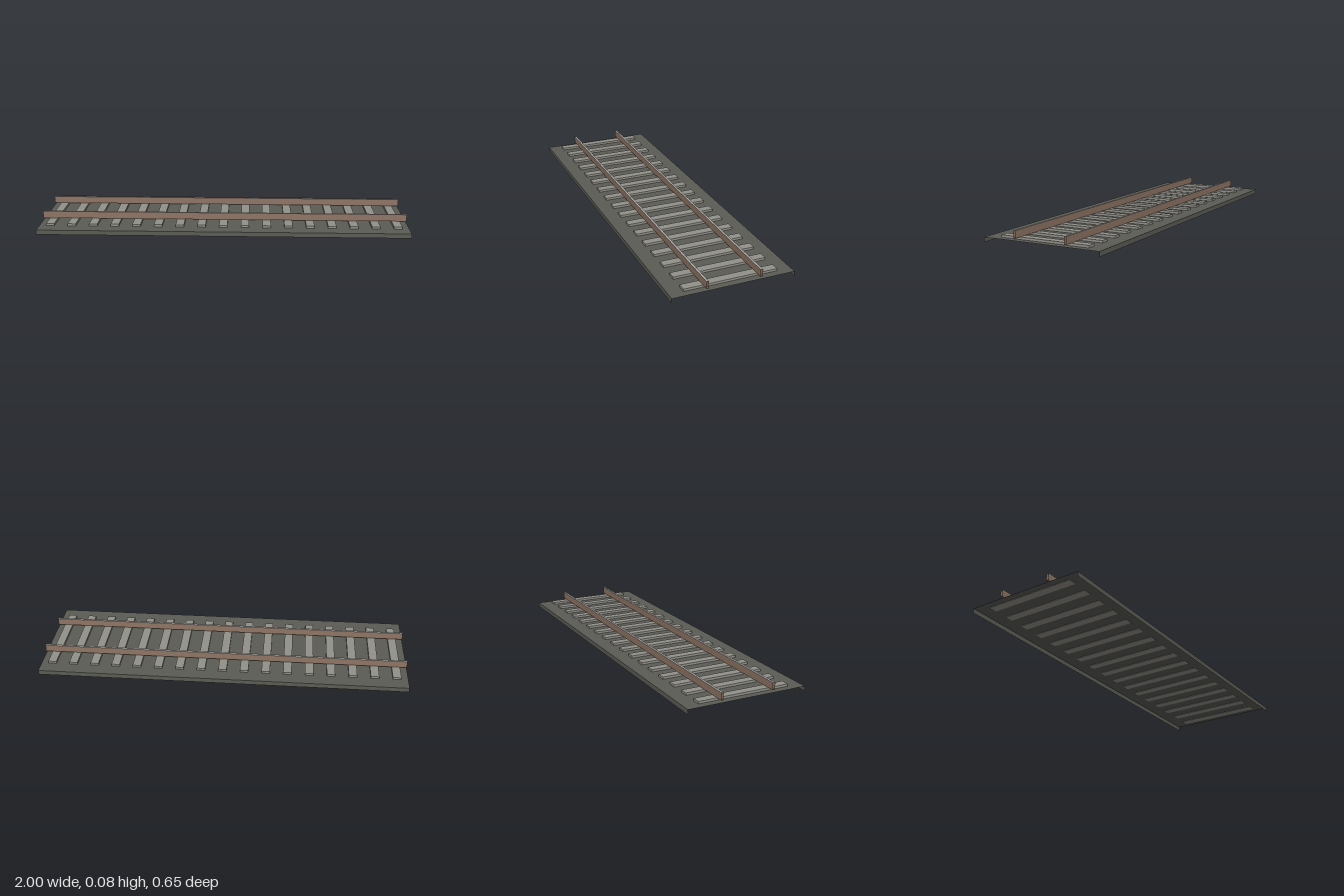
import * as THREE from 'three';

const mat = (name, color, side = THREE.FrontSide) => {
  const m = new THREE.MeshStandardMaterial({ color, side });
  m.name = name;
  return m;
};

export function createModel() {
  const track = new THREE.Group();
  track.name = 'railwayTrack';

  const ballastGrey = mat('ballast grey', 0x5c5c56, THREE.DoubleSide);
  const sleeperGrey = mat('sleeper concrete', 0x92918a);
  const rust = mat('rail rust', 0x8f7565, THREE.DoubleSide);
  const steel = mat('rail steel', 0xa9a9a7, THREE.DoubleSide);

  // Thin sheet running the full length of the track, optionally upright
  const sheet = (name, material, depth, y, z, tilt) => {
    const mesh = new THREE.Mesh(new THREE.PlaneGeometry(2, depth), material);
    mesh.name = name;
    mesh.position.set(0, y, z);
    mesh.rotation.x = tilt;
    return mesh;
  };

  // Ballast bed: an open trough with a top and two sides
  const bedTop = 0.025, bedHalf = 0.323;
  const ballast = new THREE.Group();
  ballast.name = 'ballast';
  ballast.add(sheet('ballastTop', ballastGrey, bedHalf * 2, bedTop, 0, -Math.PI / 2));
  for (const s of [1, -1]) {
    ballast.add(sheet('ballastSide', ballastGrey, bedTop, bedTop / 2, s * bedHalf, s > 0 ? 0 : Math.PI));
  }
  track.add(ballast);

  // Sleepers, evenly spaced and set slightly into the bed
  const count = 17, step = 0.1175;
  const sleeperGeometry = new THREE.BoxGeometry(0.045, 0.0145, 0.495);
  for (let i = 0; i < count; i++) {
    const sleeper = new THREE.Mesh(sleeperGeometry, sleeperGrey);
    sleeper.name = 'sleeper';
    sleeper.position.set((i - (count - 1) / 2) * step, 0.03, 0);
    track.add(sleeper);
  }

  // Rails: rusty webs with a worn steel top, open at the track joints
  const railBottom = 0.037, railTop = 0.075, railWidth = 0.012;
  const midY = (railBottom + railTop) / 2;
  for (const s of [1, -1]) {
    const rail = new THREE.Group();
    rail.name = s > 0 ? 'frontRail' : 'backRail';
    rail.position.z = s * 0.142;
    rail.add(
      sheet('railFace', rust, railTop - railBottom, midY, railWidth / 2, 0),
      sheet('railFace', rust, railTop - railBottom, midY, -railWidth / 2, Math.PI),
      sheet('railBase', rust, railWidth, railBottom, 0, Math.PI / 2),
      sheet('railTop', steel, railWidth, railTop, 0, -Math.PI / 2),
    );
    track.add(rail);
  }
  return track;
}
